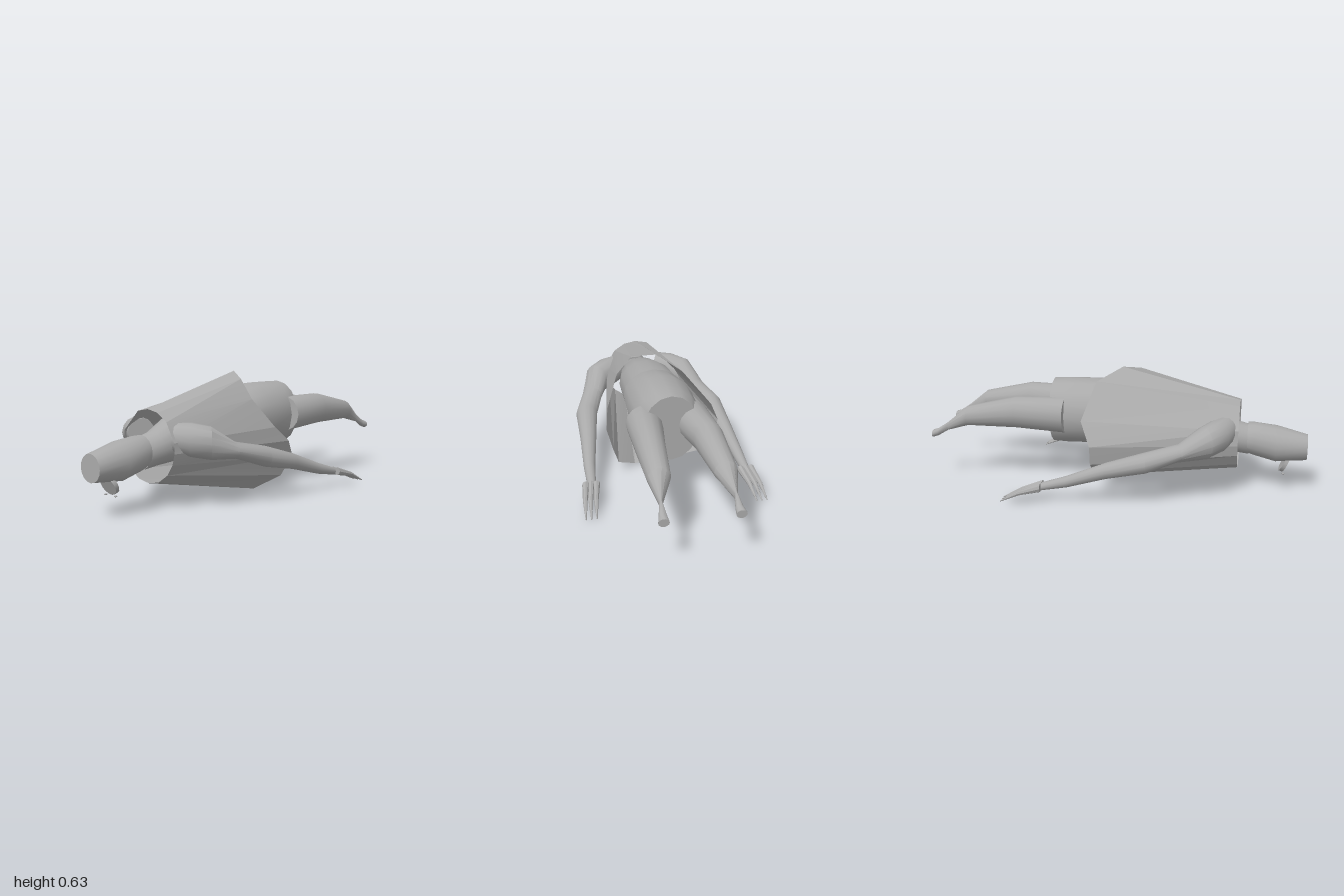
import * as THREE from 'three';
import { toCreasedNormals } from 'three/addons/utils/BufferGeometryUtils.js';

const grey = new THREE.MeshStandardMaterial({ color: 0xaaaaaa, side: THREE.DoubleSide });
grey.name = 'plain grey';

// Joins rings of points (ordered from back to front) into a skin, with optional end caps.
function skin(rings, capped, crease) {
  const pos = [], index = [], n = rings[0].length;
  rings.forEach(r => r.forEach(p => pos.push(...p)));
  for (let i = 0; i < rings.length - 1; i++)
    for (let j = 0; j < n; j++) {
      const a = i * n + j, b = i * n + (j + 1) % n;
      index.push(a, b, a + n, b, b + n, a + n);
    }
  if (capped) {
    const last = (rings.length - 1) * n;
    for (let j = 1; j < n - 1; j++) index.push(0, j + 1, j, last, last + j, last + j + 1);
  }
  const geo = new THREE.BufferGeometry();
  geo.setAttribute('position', new THREE.Float32BufferAttribute(pos, 3));
  geo.setIndex(index);
  return toCreasedNormals(geo, crease);
}

// Each section is [x, y, z, halfWidth, halfHeight, yaw]; side mirrors it across x.
function loft(sections, sides = 14, side = 1) {
  const rings = sections.map(([x, y, z, a, b, yaw = 0]) =>
    Array.from({ length: sides }, (_, j) => {
      const t = j / sides * Math.PI * 2, u = a * Math.cos(t), w = yaw * side;
      return [x * side + u * Math.cos(w), y + b * Math.sin(t), z + u * Math.sin(w)];
    }));
  return skin(rings, true, 0.6);
}

export function createModel() {
  const model = new THREE.Group();
  const add = (name, geo, parent = model) => {
    const mesh = new THREE.Mesh(geo, grey);
    mesh.name = name;
    parent.add(mesh);
    return mesh;
  };

  // Loose shirt, open at the collar and at the ragged hem
  const hem = [
    [0, 0.632, 0.02], [-0.115, 0.575, -0.1], [-0.26, 0.4, -0.155], [-0.315, 0.28, -0.1],
    [-0.3, 0.18, -0.1], [-0.2, 0.1, -0.1], [-0.1, 0.06, -0.06], [0, 0.018, -0.01],
    [0.125, 0.003, 0], [0.23, 0.075, -0.1], [0.265, 0.18, -0.155], [0.29, 0.27, -0.09],
    [0.27, 0.35, 0], [0.2, 0.5, 0.105], [0.12, 0.6, 0.1],
  ];
  const collar = hem.map(([x, y]) => {
    const t = Math.atan2(y - 0.3, x);
    return [0.182 * Math.cos(t), 0.3 + 0.182 * Math.sin(t), 0.645];
  });
  add('shirt', skin([hem, collar], false, 0.2));

  // Hips, body and neck
  add('trousers', loft([
    [0, 0.378, -0.355, 0.145, 0.177], [0, 0.38, -0.27, 0.172, 0.178],
    [0, 0.385, -0.1, 0.18, 0.176], [0, 0.375, 0.1, 0.165, 0.14],
  ], 16));
  add('bodyAndNeck', loft([
    [0, 0.375, 0.1, 0.165, 0.14], [0, 0.36, 0.3, 0.155, 0.13],
    [0, 0.325, 0.48, 0.12, 0.115], [0, 0.285, 0.62, 0.085, 0.085],
    [0, 0.27, 0.7, 0.076, 0.08],
  ], 16));

  // Head
  add('head', loft([
    [0, 0.28, 0.69, 0.08, 0.082], [0, 0.275, 0.725, 0.084, 0.088],
    [0, 0.255, 0.84, 0.095, 0.096], [0, 0.243, 1, 0.068, 0.068],
  ], 16));
  const snout = add('snout', new THREE.CylinderGeometry(0.05, 0.052, 0.02, 14));
  snout.position.set(0, 0.15, 0.89);
  snout.rotation.x = Math.PI / 2 + 0.45;

  for (const side of [1, -1]) {
    const name = side > 0 ? 'left' : 'right';

    const eye = add(name + 'Eye', new THREE.SphereGeometry(0.008, 8, 6));
    eye.position.set(0.035 * side, 0.1, 0.885);
    eye.scale.y = 0.5;

    // Arm from wrist to shoulder
    const arm = new THREE.Group();
    arm.name = name + 'Arm';
    model.add(arm);
    add(name + 'Forearm', loft([
      [0.408, 0.085, -0.34, 0.022, 0.02], [0.4, 0.12, -0.2, 0.03, 0.03],
      [0.378, 0.185, 0, 0.043, 0.042], [0.36, 0.235, 0.2, 0.058, 0.054, 0.1],
      [0.305, 0.28, 0.36, 0.056, 0.042, 0.35], [0.262, 0.325, 0.48, 0.075, 0.082, 0.75],
      [0.19, 0.34, 0.54, 0.08, 0.083, 0.9], [0.12, 0.35, 0.58, 0.068, 0.072, 1.05],
    ], 14, side), arm);

    // Three tapered fingers
    for (let i = 0; i < 3; i++) {
      const base = 0.382 + 0.028 * i, tip = 0.41 + 0.027 * i;
      add(name + 'Finger', loft([
        [tip, 0.014, -0.535, 0.003, 0.003],
        [(base + tip) / 2 + 0.004, 0.06, -0.44, 0.012, 0.012],
        [base, 0.09, -0.33, 0.018, 0.022],
      ], 8, side), arm);
    }

    // Leg from the pinched foot up to the thigh
    add(name + 'Leg', loft([
      [0.176, 0.255, -1, 0.026, 0.02], [0.174, 0.265, -0.97, 0.02, 0.02],
      [0.172, 0.3, -0.915, 0.008, 0.022], [0.156, 0.363, -0.8, 0.056, 0.053],
      [0.145, 0.395, -0.53, 0.076, 0.085], [0.122, 0.385, -0.27, 0.095, 0.095],
    ], 14, side));
  }
  return model;
}
